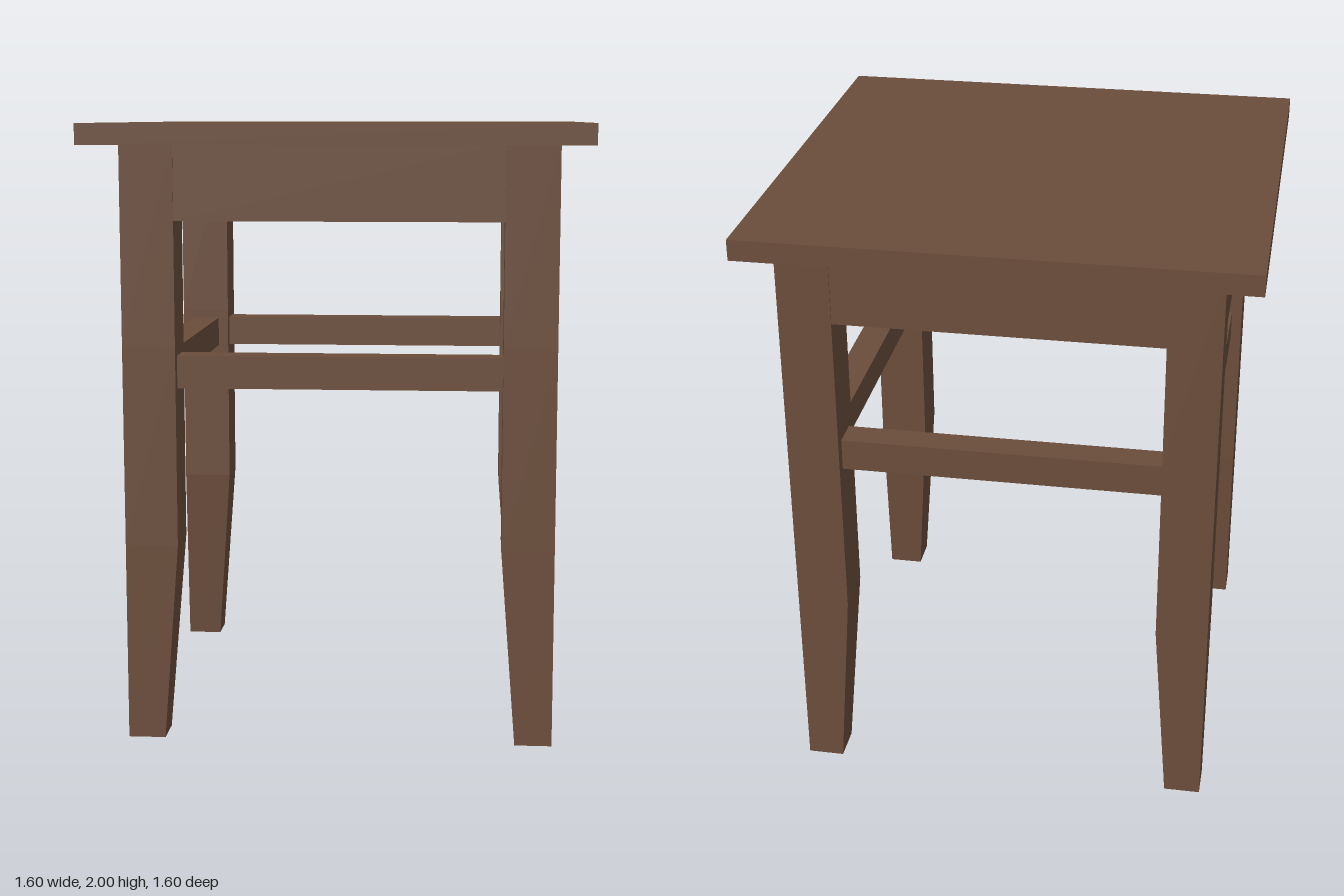
import * as THREE from 'three';

export function createModel() {
  const stool = new THREE.Group();
  stool.name = 'stool';
  const wood = new THREE.MeshStandardMaterial({ color: 0x6b4d3b });
  wood.name = 'brown wood';

  const CX = 0.006, CZ = 0.006;         // centre of the leg frame
  const OUTER = 0.69, INNER = 0.52;     // leg faces, from the frame centre
  const LEG_TOP = 1.93, FOOT = 0.12;

  function add(name, geometry, x, y, z) {
    const mesh = new THREE.Mesh(geometry, wood);
    mesh.name = name;
    mesh.position.set(x, y, z);
    stool.add(mesh);
    return mesh;
  }

  // Seat: a thin square board with a very slight forward tilt
  add('seat', new THREE.BoxGeometry(1.6, 0.067, 1.6), 0, 1.962, 0).rotation.x = 0.005;

  // Leg: square post whose two inner faces taper over the lowest third
  function legGeometry(sx, sz) {
    const w = OUTER - INNER;
    const box = new THREE.BoxGeometry(w, LEG_TOP, w, 1, 3, 1);
    const p = box.attributes.position;
    for (let i = 0; i < p.count; i++) {
      if (p.getY(i) > -LEG_TOP / 2 + 0.01) continue;
      if (p.getX(i) * sx < 0) p.setX(i, sx * (w / 2 - FOOT));
      if (p.getZ(i) * sz < 0) p.setZ(i, sz * (w / 2 - FOOT));
    }
    const flat = box.toNonIndexed();
    flat.computeVertexNormals();
    return flat;
  }
  const mid = (OUTER + INNER) / 2;
  for (const [sx, xName] of [[1, 'Left'], [-1, 'Right']]) {
    for (const [sz, zName] of [[1, 'front'], [-1, 'back']]) {
      add(`${zName}${xName}Leg`, legGeometry(sx, sz), CX + sx * mid, LEG_TOP / 2, CZ + sz * mid);
    }
  }

  // Rails between the legs: aprons flush with the legs, stretchers set back
  function rails(name, bottom, top, recess, thickness) {
    const length = INNER * 2 + 0.004;
    const y = (bottom + top) / 2;
    const offset = OUTER - recess - thickness / 2;
    for (const s of [1, -1]) {
      add(`${s > 0 ? 'front' : 'back'}${name}`,
        new THREE.BoxGeometry(length, top - bottom, thickness), CX, y, CZ + s * offset);
      add(`${s > 0 ? 'left' : 'right'}${name}`,
        new THREE.BoxGeometry(thickness, top - bottom, length), CX + s * offset, y, CZ);
    }
  }
  rails('Apron', 1.687, 1.93, 0.003, 0.1);
  rails('Stretcher', 1.152, 1.257, 0.036, 0.098);

  return stool;
}
